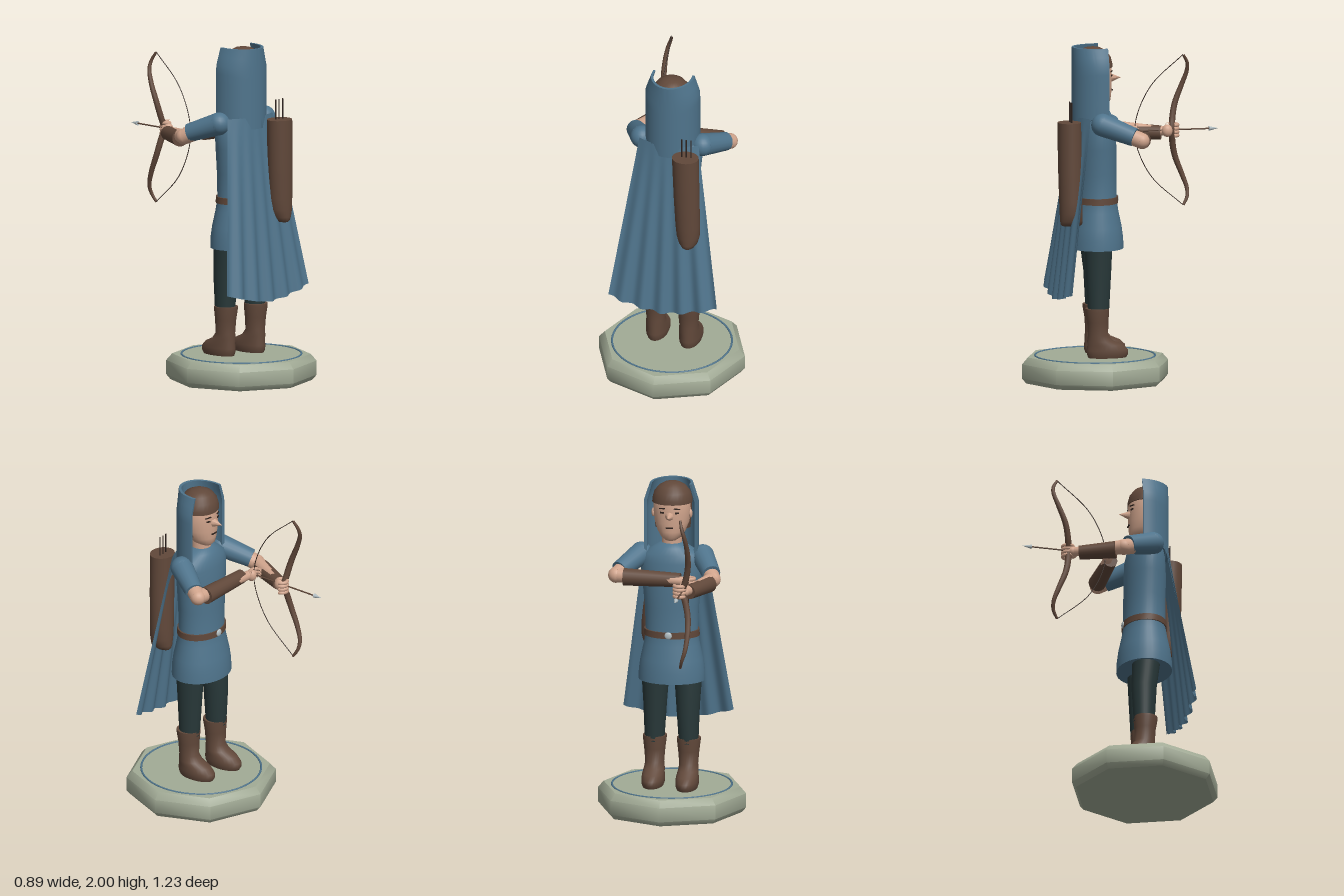
import * as THREE from 'three';
import { toCreasedNormals } from 'three/addons/utils/BufferGeometryUtils.js';
import { ParametricGeometry } from 'three/addons/geometries/ParametricGeometry.js';

const V = (x, y, z) => new THREE.Vector3(x, y, z);
const mat = (name, color, side = THREE.FrontSide) => {
  const m = new THREE.MeshStandardMaterial({ color, side });
  m.name = name;
  return m;
};

export function createModel() {
  const root = new THREE.Group();
  const blue = mat('blue cloth', 0x4f748c, THREE.DoubleSide);
  const brown = mat('brown leather', 0x61483a);
  const skin = mat('skin', 0xd0a48c);
  const dark = mat('dark trousers', 0x283839);
  const stone = mat('stone', 0xa2ab96);
  const steel = mat('steel', 0xb4c0c4);
  const ink = mat('dark features', 0x30241f);

  const add = (name, geo, m, parent = root) => {
    const mesh = new THREE.Mesh(geo, m);
    mesh.name = name;
    parent.add(mesh);
    return mesh;
  };
  // Stacked ellipses, top to bottom: [y, centre x, centre z, radius x, radius z]
  const loft = (rows, n = 28) => {
    const g = new THREE.CylinderGeometry(1, 1, 1, n, rows.length - 1);
    const p = g.attributes.position;
    for (let i = 0; i < p.count; i++) {
      const [y, cx, cz, rx, rz] = rows[Math.round((0.5 - p.getY(i)) * (rows.length - 1))];
      p.setXYZ(i, cx + p.getX(i) * rx, y, cz + p.getZ(i) * rz);
    }
    return toCreasedNormals(g, 0.9);
  };
  // Round tapered bar between two points
  const limb = (name, a, b, ra, rb, m, parent = root, n = 18) => {
    const mesh = add(name, new THREE.CylinderGeometry(rb, ra, a.distanceTo(b), n), m, parent);
    mesh.position.copy(a).lerp(b, 0.5);
    mesh.quaternion.setFromUnitVectors(V(0, 1, 0), b.clone().sub(a).normalize());
    return mesh;
  };
  const ball = (name, c, r, m, parent = root, sx = 1, sy = 1, sz = 1) => {
    const mesh = add(name, new THREE.SphereGeometry(r, 20, 14), m, parent);
    mesh.position.copy(c);
    mesh.scale.set(sx, sy, sz);
    return mesh;
  };

  // Octagonal stand with an inlaid ring
  const standProfile = [[0, 0], [0.42, 0], [0.445, 0.03], [0.445, 0.115], [0.41, 0.155], [0, 0.155]];
  const stand = add('stand', toCreasedNormals(new THREE.LatheGeometry(
    standProfile.map(([r, y]) => new THREE.Vector2(r, y)), 8), 0.85), stone);
  stand.position.z = 0.17;
  const ring = add('standRing', new THREE.TorusGeometry(0.355, 0.006, 8, 64), blue);
  ring.rotation.x = Math.PI / 2;
  ring.position.set(0, 0.155, 0.17);

  // Legs and boots, one foot slightly ahead
  for (const [side, x, dz] of [['left', 0.105, 0], ['right', -0.105, -0.035]]) {
    add(side + 'Leg', loft([[0.86, x * 0.95, 0.175 + dz / 2, 0.085, 0.085],
      [0.65, x * 0.97, 0.175 + dz, 0.07, 0.075], [0.42, x, 0.175 + dz, 0.058, 0.062]]), dark);
    add(side + 'Boot', loft([[0.45, x, 0.183 + dz, 0.071, 0.071], [0.435, x, 0.183 + dz, 0.071, 0.071],
      [0.37, x, 0.18 + dz, 0.063, 0.063], [0.29, x, 0.178 + dz, 0.056, 0.06],
      [0.255, x, 0.165 + dz, 0.061, 0.078], [0.23, x, 0.135 + dz, 0.065, 0.107],
      [0.2, x, 0.122 + dz, 0.068, 0.125], [0.175, x, 0.12 + dz, 0.067, 0.125],
      [0.155, x, 0.122 + dz, 0.06, 0.115]]), brown);
  }

  // Tunic, belt and buckle
  add('tunic', loft([[1.635, 0, 0.165, 0.065, 0.06], [1.61, 0, 0.167, 0.11, 0.085],
    [1.57, 0, 0.17, 0.175, 0.105], [1.52, 0, 0.17, 0.19, 0.115], [1.4, 0, 0.17, 0.177, 0.122],
    [1.25, 0, 0.168, 0.162, 0.122], [1.09, 0, 0.167, 0.155, 0.122], [1.02, 0, 0.167, 0.167, 0.133],
    [0.93, 0, 0.167, 0.187, 0.152], [0.86, 0, 0.167, 0.197, 0.161], [0.8, 0, 0.167, 0.198, 0.163]], 36), blue);
  add('belt', loft([[1.108, 0, 0.167, 0.165, 0.13], [1.07, 0, 0.167, 0.166, 0.131]], 36), brown);
  ball('buckle', V(0, 1.09, 0.037), 0.022, steel, root, 1, 1, 0.4);

  // Head
  const head = new THREE.Group();
  head.name = 'head';
  root.add(head);
  add('neck', loft([[1.7, 0, 0.17, 0.06, 0.06], [1.58, 0, 0.17, 0.06, 0.06]]), skin, head);
  add('face', loft([[1.98, 0, 0.185, 0.05, 0.05], [1.94, 0, 0.185, 0.095, 0.095],
    [1.88, 0, 0.185, 0.112, 0.112], [1.82, 0, 0.183, 0.111, 0.111], [1.76, 0, 0.178, 0.103, 0.106],
    [1.71, 0, 0.165, 0.085, 0.09], [1.675, 0, 0.152, 0.062, 0.072], [1.655, 0, 0.145, 0.035, 0.045]]), skin, head);
  add('hair', loft([[2, 0, 0.185, 0.01, 0.01], [1.994, 0, 0.185, 0.045, 0.045],
    [1.975, 0, 0.185, 0.08, 0.08], [1.94, 0, 0.185, 0.108, 0.106],
    [1.9, 0, 0.185, 0.119, 0.116], [1.878, 0, 0.185, 0.12, 0.117]]), brown, head);
  add('backHair', loft([[1.89, 0, 0.2, 0.117, 0.1], [1.72, 0, 0.205, 0.105, 0.088]]), brown, head);
  const nose = add('nose', new THREE.ConeGeometry(0.034, 0.08, 8), skin, head);
  nose.rotation.x = -Math.PI / 2;
  nose.position.set(0, 1.81, 0.053);
  // Thin plates set on the curved face
  const plate = (name, w, h, x, y, tilt = 0) => {
    const m = add(name, new THREE.BoxGeometry(w, h, 0.008), ink, head);
    const a = Math.asin(x / 0.11);
    m.position.set(x, y, 0.182 - 0.11 * Math.cos(a));
    m.rotation.set(0, -a, tilt);
  };
  for (const s of [-1, 1]) {
    plate('eye', 0.024, 0.009, s * 0.045, 1.83);
    plate('eyebrow', 0.038, 0.006, s * 0.045, 1.855, s * -0.12);
    ball('ear', V(s * 0.112, 1.81, 0.17), 0.022, skin, head, 0.5, 1.2, 0.8);
  }
  plate('mouth', 0.045, 0.007, 0, 1.74);

  // Hood: an open-fronted, open-topped wrap, drawn in at the rim
  const arc = new THREE.Shape();
  arc.absellipse(0, 0, 0.163, 0.16, -0.18, Math.PI + 0.18, false);
  arc.absellipse(0, 0, 0.145, 0.143, Math.PI + 0.18, -0.18, true);
  const hoodGeo = new THREE.ExtrudeGeometry(arc, { depth: 0.48, steps: 8, bevelEnabled: false, curveSegments: 28 });
  const hp = hoodGeo.attributes.position;
  for (let i = 0; i < hp.count; i++) {
    const x = hp.getX(i), z = hp.getY(i), t = hp.getZ(i) / 0.48;
    const narrow = 1 - 0.22 * Math.max(0, (t - 0.74) / 0.26);
    const lift = Math.max(0, Math.abs(x) - 0.07) * 0.8 * (1 - t);
    hp.setXYZ(i, -x * narrow, 1.52 + 0.48 * t + lift, z + 0.15);
  }
  // the mirrored x keeps the faces outward after swapping y and z
  const flip = hoodGeo.clone().toNonIndexed();
  add('hood', toCreasedNormals(flip, 0.8), blue);

  // Cape with folds deepening toward the hem
  const cape = (off) => new ParametricGeometry((u, v, out) => {
    const s = u * 2 - 1;
    const half = 0.18 + 0.15 * v;
    const bottom = 0.5 + 0.065 * Math.pow(Math.abs(s), 1.5);
    const y = 1.59 + (bottom - 1.59) * v;
    const bend = -0.05 * s * s * (1 - v) - 0.015 * s * s * v;
    const fold = 0.014 * v * Math.cos(s * 17);
    out.set(s * half, y, 0.295 + 0.12 * v + bend + fold + off);
  }, 64, 20);
  add('capeOutside', cape(0.004), blue);
  add('capeInside', cape(-0.004), blue);

  // Quiver with three arrows
  const quiver = new THREE.Group();
  quiver.name = 'quiver';
  root.add(quiver);
  add('quiverBody', loft([[1.57, 0.13, 0.36, 0.08, 0.07], [1.3, 0.137, 0.357, 0.077, 0.07],
    [1.1, 0.143, 0.353, 0.073, 0.069], [1.03, 0.146, 0.352, 0.069, 0.068],
    [0.985, 0.147, 0.351, 0.057, 0.067], [0.965, 0.148, 0.351, 0.043, 0.065],
    [0.955, 0.148, 0.35, 0.03, 0.055]]), brown, quiver);
  for (const x of [0.106, 0.134, 0.163])
    limb('spareArrow', V(x, 1.4, 0.352), V(x, 1.69, 0.352), 0.004, 0.004, ink, quiver, 8);

  // Arms: sleeve, bare elbow, bracer, wrist
  const arm = (side, shoulder, cuff, elbow, b0, b1, wrist) => {
    const g = new THREE.Group();
    g.name = side + 'Arm';
    root.add(g);
    ball('shoulder', shoulder, 0.068, blue, g);
    limb('sleeve', shoulder, cuff, 0.068, 0.055, blue, g);
    limb('upperArm', shoulder, elbow, 0.05, 0.047, skin, g);
    ball('elbow', elbow, 0.047, skin, g);
    limb('forearm', elbow, wrist, 0.045, 0.026, skin, g);
    limb('bracer', b0, b1, 0.052, 0.042, brown, g);
    ball('wristJoint', wrist, 0.028, skin, g);
    return g;
  };
  const bowArm = arm('right', V(-0.185, 1.555, 0.17), V(-0.265, 1.49, 0), V(-0.28, 1.465, -0.03),
    V(-0.265, 1.45, -0.075), V(-0.18, 1.445, -0.275), V(-0.16, 1.455, -0.31));
  const drawArm = arm('left', V(0.185, 1.555, 0.17), V(0.285, 1.49, 0), V(0.3, 1.47, -0.04),
    V(0.25, 1.465, -0.056), V(-0.09, 1.46, -0.062), V(-0.125, 1.46, -0.085));

  // Hands with fingers curled around the grip and the string
  const hand = (parent, palm, hold, r, count, turn) => {
    ball('palm', palm, 0.036, skin, parent, 0.8, 1.05, 0.9);
    for (let i = 0; i < count; i++) {
      const f = add('finger', new THREE.TorusGeometry(r, 0.0115, 8, 18, 4.6), skin, parent);
      f.position.set(hold.x, hold.y + (i - (count - 1) / 2) * 0.021, hold.z);
      f.rotation.set(Math.PI / 2, 0, turn);
    }
  };
  hand(bowArm, V(-0.145, 1.46, -0.305), V(-0.132, 1.465, -0.333), 0.031, 4, 1.6);
  hand(drawArm, V(-0.14, 1.46, -0.098), V(-0.157, 1.465, -0.115), 0.025, 3, 0);

  // Bow: limbs thin toward the tips
  const bow = new THREE.Group();
  bow.name = 'bow';
  root.add(bow);
  const half = [[-0.17, 0.07, -0.342], [-0.187, 0.16, -0.362], [-0.189, 0.27, -0.405],
    [-0.178, 0.35, -0.432], [-0.162, 0.4, -0.43], [-0.148, 0.45, -0.403]];
  const bowPath = new THREE.CatmullRomCurve3([
    ...half.map(([x, y, z]) => V(x, 1.462 - y, z)).reverse(), V(-0.15, 1.462, -0.335),
    ...half.map(([x, y, z]) => V(x, 1.462 + y, z))]);
  const bowGeo = new THREE.TubeGeometry(bowPath, 64, 0.019, 10);
  const bp = bowGeo.attributes.position;
  for (let i = 0; i < bp.count; i++) {
    const t = Math.floor(i / 11) / 64, k = 1 - 0.6 * Math.pow(Math.abs(t * 2 - 1), 2);
    const c = bowPath.getPointAt(t);
    bp.setXYZ(i, c.x + (bp.getX(i) - c.x) * k, c.y + (bp.getY(i) - c.y) * k, c.z + (bp.getZ(i) - c.z) * k);
  }
  add('bowStave', bowGeo, brown, bow);
  const pull = [[0.12, -0.13], [0.28, -0.215], [0.45, -0.403]];
  const stringPath = new THREE.CatmullRomCurve3([
    ...pull.map(([y, z]) => V(-0.15, 1.462 - y, z)).reverse(), V(-0.15, 1.462, -0.108),
    ...pull.map(([y, z]) => V(-0.15, 1.462 + y, z))]);
  add('bowString', new THREE.TubeGeometry(stringPath, 48, 0.0025, 6), ink, bow);

  // Nocked arrow
  limb('arrowShaft', V(-0.15, 1.464, -0.105), V(-0.15, 1.464, -0.57), 0.0045, 0.0045, brown, bow, 8);
  limb('arrowHead', V(-0.15, 1.464, -0.56), V(-0.15, 1.464, -0.615), 0.014, 0.0005, steel, bow, 8);

  return root;
}
